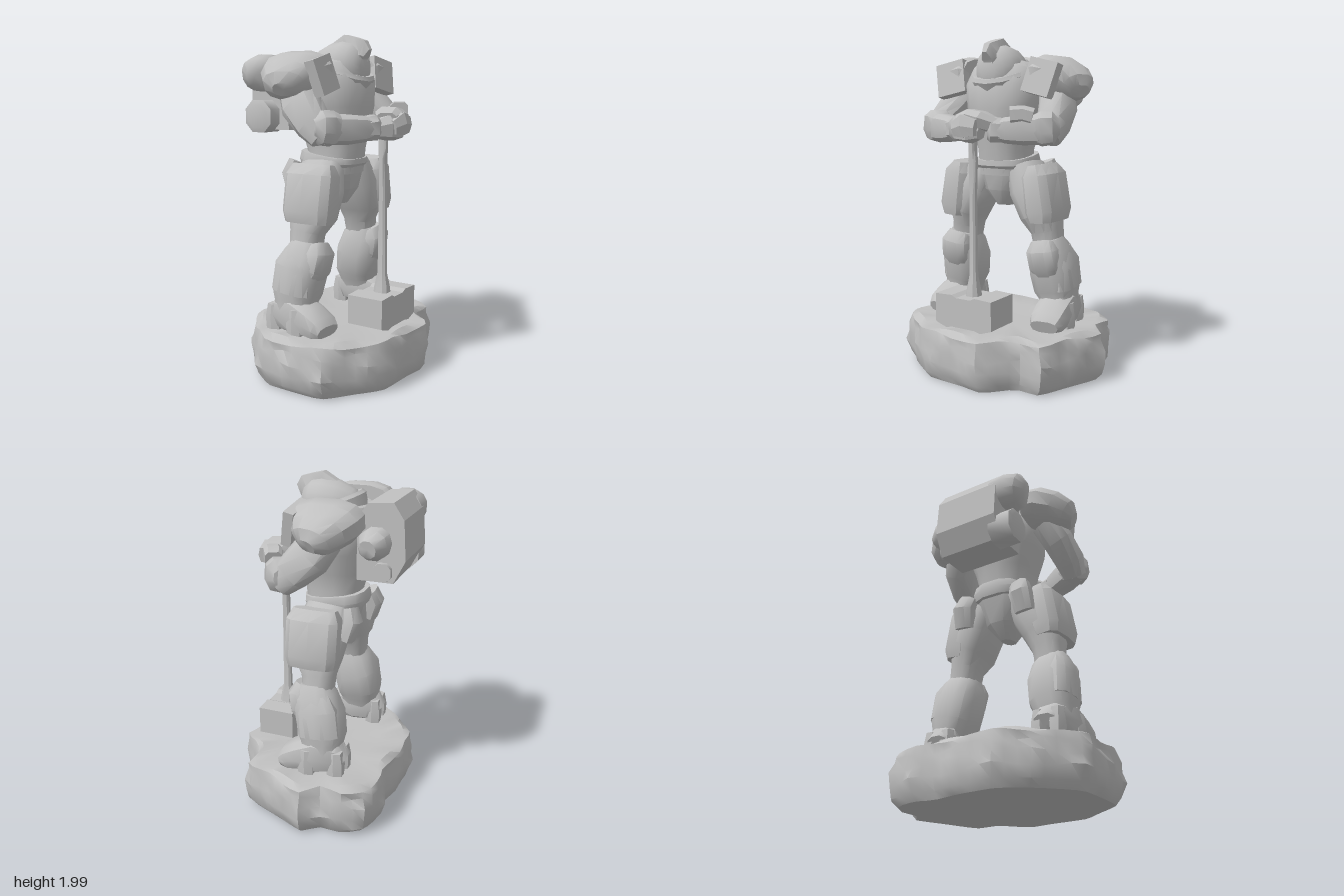
import * as THREE from 'three';
import { toCreasedNormals } from 'three/addons/utils/BufferGeometryUtils.js';

const V = (x, y, z) => new THREE.Vector3(x, y, z);
const UP = V(0, 1, 0);

// Closed skin over a list of rings, wound outward, with capped ends
function loft(rings, crease = 0.6) {
  const n = rings[0].length, pts = rings.flat(), idx = [];
  for (let i = 0; i < rings.length - 1; i++) {
    for (let j = 0; j < n; j++) {
      const a = i * n + j, b = i * n + (j + 1) % n;
      idx.push(a, b, b + n, a, b + n, a + n);
    }
  }
  [0, rings.length - 1].forEach((r) => {
    const c = pts.length;
    pts.push(rings[r].reduce((s, p) => s.add(p), V(0, 0, 0)).divideScalar(n));
    for (let j = 0; j < n; j++) {
      const a = r * n + j, b = r * n + (j + 1) % n;
      if (r === 0) idx.push(c, b, a); else idx.push(c, a, b);
    }
  });
  let volume = 0;
  for (let i = 0; i < idx.length; i += 3) {
    volume += pts[idx[i]].dot(V(0, 0, 0).crossVectors(pts[idx[i + 1]], pts[idx[i + 2]]));
  }
  if (volume < 0) idx.reverse();
  const g = new THREE.BufferGeometry().setFromPoints(pts);
  g.setIndex(idx);
  return toCreasedNormals(g.toNonIndexed(), crease);
}

// Limb along keys [x, y, z, half width along ref, half width across]; box < 1 squares it off
function limb(keys, { ref = V(1, 0, 0), sides = 10, box = 0.75, crease = 0.7 } = {}) {
  const P = keys.map((k) => V(k[0], k[1], k[2]));
  return loft(keys.map((k, i) => {
    const t = P[Math.min(i + 1, P.length - 1)].clone().sub(P[Math.max(i - 1, 0)]).normalize();
    const u = ref.clone().addScaledVector(t, -ref.dot(t)).normalize();
    const w = V(0, 0, 0).crossVectors(t, u);
    return Array.from({ length: sides }, (_, j) => {
      const a = (j + 0.5) / sides * Math.PI * 2, c = Math.cos(a), s = Math.sin(a);
      return P[i].clone()
        .addScaledVector(u, k[3] * Math.sign(c) * Math.abs(c) ** box)
        .addScaledVector(w, k[4] * Math.sign(s) * Math.abs(s) ** box);
    });
  }), crease);
}

// Flat outline extruded along z and centred on z = 0
function slab(points, depth) {
  const shape = new THREE.Shape(points.map((p) => new THREE.Vector2(...p)));
  return new THREE.ExtrudeGeometry(shape, { depth, bevelEnabled: false }).translate(0, 0, -depth / 2);
}

export function createModel() {
  const root = new THREE.Group();
  const grey = new THREE.MeshStandardMaterial({ color: 0xc0c0c0 });
  grey.name = 'stone grey';
  const figure = new THREE.Group();
  figure.name = 'figure';
  figure.position.z = 0.037;
  const add = (name, geometry, parent = figure) => {
    const m = new THREE.Mesh(geometry, grey);
    m.name = name;
    parent.add(m);
    return m;
  };

  // Rock base: irregular outline stacked in uneven layers
  const outline = [[-0.07, -0.64], [0.15, -0.55], [0.36, -0.46], [0.36, -0.29], [0.52, -0.14], [0.5, 0.03],
    [0.48, 0.3], [0.36, 0.46], [0.22, 0.63], [-0.18, 0.63], [-0.32, 0.52], [-0.42, 0.41], [-0.51, 0.25],
    [-0.5, 0], [-0.46, -0.2], [-0.49, -0.32], [-0.44, -0.48], [-0.32, -0.56], [-0.16, -0.56]];
  const edge = new THREE.CatmullRomCurve3(outline.map(([x, z]) => V(x, 0, z)), true, 'catmullrom', 0.2).getSpacedPoints(56);
  edge.pop();
  const layers = [[0.01, 0.9, 0], [0.05, 0.95, 0.02], [0.12, 0.98, 0.025], [0.19, 0.975, 0.03], [0.25, 0.96, 0.03],
    [0.3, 0.945, 0.02], [0.318, 0.88, 0.01], [0.305, 0.6, 0], [0.3, 0.25, 0]];
  add('rockBase', loft(layers.map(([y, s, j], i) => edge.map((p, k) => {
    const f = s + j * Math.sin(k * 1.3 + i * 1.9) * Math.cos(k * 0.45 - i);
    return V(p.x * f, y + (i > 1 && i < 7 ? 0.01 * Math.sin(k * 0.9 + i * 2) : 0), p.z * f);
  })), 0.7), root);

  // Torso, belt and groin
  add('torso', limb([[-0.04, 1.2, 0, 0.15, 0.16], [-0.04, 1.34, 0, 0.17, 0.155], [-0.045, 1.45, 0, 0.195, 0.18],
    [-0.05, 1.58, 0, 0.22, 0.23], [-0.06, 1.7, 0, 0.23, 0.25], [-0.09, 1.8, 0, 0.2, 0.22], [-0.1, 1.85, 0, 0.15, 0.16]], { sides: 16, box: 0.85 }));
  add('belt', limb([[-0.06, 1.24, 0, 0.175, 0.175], [-0.06, 1.27, 0, 0.19, 0.185], [-0.055, 1.31, 0, 0.185, 0.175]], { sides: 14 }));
  add('groin', limb([[-0.03, 1.01, 0, 0.06, 0.035], [-0.04, 1.1, 0, 0.13, 0.11], [-0.05, 1.26, 0, 0.165, 0.19]], { sides: 10 }));

  // Collar: hollow ring sloping down to the front
  const collar = new THREE.LatheGeometry([[0.19, -0.1], [0.215, 0.05], [0.2, 0.07], [0.175, 0.065], [0.15, -0.04]]
    .map((p) => new THREE.Vector2(...p)), 12);
  const ring = add('collar', toCreasedNormals(collar.toNonIndexed(), 0.6));
  ring.position.set(-0.03, 1.765, 0);
  ring.rotation.z = -0.38;
  ring.scale.z = 0.94;

  // Helmet: rounded from back to front, rising to a narrow ridge over the crown
  add('helmet', limb([[-0.2, 1.81, 0, 0.05, 0.04], [-0.15, 1.81, 0, 0.1, 0.095], [-0.06, 1.81, 0, 0.14, 0.135],
    [0.03, 1.81, 0, 0.155, 0.148], [0.09, 1.81, 0, 0.145, 0.13], [0.135, 1.81, 0, 0.11, 0.095], [0.155, 1.81, 0, 0.06, 0.05]],
    { ref: UP, sides: 16, box: 1, crease: 1 }));
  add('helmetCrest', limb([[-0.12, 1.88, 0, 0.03, 0.04], [-0.05, 1.88, 0, 0.085, 0.06], [0.03, 1.88, 0, 0.14, 0.065],
    [0.1, 1.88, 0, 0.12, 0.065], [0.15, 1.88, 0, 0.1, 0.05], [0.165, 1.87, 0, 0.06, 0.035]], { ref: UP, sides: 6, box: 1.3 }));

  // Backpack block with chamfered top and bottom, and its tanks
  add('backpack', slab([[-0.24, 1.45], [-0.45, 1.45], [-0.515, 1.58], [-0.5, 1.8], [-0.44, 1.89], [-0.3, 1.88], [-0.24, 1.8]], 0.41));
  const tank = (name, keys, sides) => add(name, limb(keys, { ref: UP, sides, box: 0.9, crease: 0.9 }));
  tank('leftUpperTank', [[-0.39, 1.78, 0.15, 0.1, 0.11], [-0.39, 1.78, 0.24, 0.11, 0.115], [-0.39, 1.77, 0.31, 0.095, 0.1], [-0.38, 1.76, 0.34, 0.05, 0.05]], 12);
  tank('leftLowerTank', [[-0.4, 1.53, 0.15, 0.1, 0.1], [-0.4, 1.53, 0.29, 0.1, 0.1], [-0.4, 1.53, 0.3, 0.07, 0.07]], 8);
  tank('rightUpperTank', [[-0.35, 1.67, -0.15, 0.09, 0.09], [-0.35, 1.67, -0.28, 0.085, 0.085], [-0.34, 1.66, -0.33, 0.05, 0.05]], 10);
  tank('rightLowerTank', [[-0.39, 1.51, -0.15, 0.06, 0.06], [-0.39, 1.51, -0.23, 0.055, 0.055]], 8);

  for (const s of [1, -1]) {
    const side = new THREE.Group();
    side.name = s > 0 ? 'leftSide' : 'rightSide';
    figure.add(side);
    const part = (name, keys, opt) => add(name, limb(keys.map(([x, y, z, a, b]) => [x, y, z * s, a, b]), opt), side);

    // Shoulder pad, sloping outward, with a thick front plate
    part('shoulderPad', [[-0.1, 1.79, 0.225, 0.1, 0.19], [-0.1, 1.79, 0.25, 0.115, 0.205], [-0.1, 1.775, 0.33, 0.12, 0.2],
      [-0.09, 1.745, 0.4, 0.11, 0.165], [-0.075, 1.71, 0.455, 0.09, 0.12], [-0.06, 1.69, 0.485, 0.04, 0.06]], { ref: UP, sides: 12, box: 0.8, crease: 0.6 });
    const plate = add('padPlate', new THREE.BoxGeometry(0.06, 0.2, 0.19), side);
    plate.position.set(0.075, 1.765, 0.31 * s);
    plate.rotation.set(0.22 * s, 0.1 * s, 0.2);

    // Arm bent inward to the hammer grip
    part('upperArm', [[-0.1, 1.7, 0.31, 0.1, 0.09], [-0.03, 1.6, 0.36, 0.115, 0.095], [0.07, 1.5, 0.385, 0.1, 0.085], [0.13, 1.43, 0.385, 0.07, 0.07]]);
    part('elbow', [[0.1, 1.49, 0.445, 0.045, 0.045], [0.12, 1.49, 0.41, 0.095, 0.085], [0.15, 1.485, 0.355, 0.1, 0.09], [0.18, 1.485, 0.3, 0.07, 0.07]], { ref: UP, sides: 9 });
    part('forearm', [[0.13, 1.48, 0.39, 0.085, 0.075], [0.2, 1.475, 0.27, 0.085, 0.08], [0.25, 1.475, 0.18, 0.075, 0.07], [0.28, 1.475, 0.13, 0.055, 0.055]], { ref: UP });
    part('cuff', [[0.255, 1.475, 0.165, 0.07, 0.065], [0.285, 1.48, 0.11, 0.075, 0.07], [0.3, 1.48, 0.09, 0.055, 0.05]], { ref: UP, sides: 8 });

    // Leg: thigh, guards, knee, shin and boot
    part('thigh', [[-0.05, 1.25, 0.13, 0.13, 0.09], [-0.04, 1.12, 0.195, 0.155, 0.125], [-0.03, 0.98, 0.26, 0.145, 0.115], [-0.05, 0.88, 0.285, 0.1, 0.09], [-0.05, 0.78, 0.3, 0.09, 0.085]], { sides: 12 });
    part('thighGuard', [[-0.02, 1.27, 0.265, 0.13, 0.05], [-0.02, 1.21, 0.275, 0.16, 0.095], [-0.02, 1.0, 0.305, 0.16, 0.105], [-0.02, 0.94, 0.31, 0.145, 0.085]], { sides: 10, box: 0.6, crease: 0.6 });
    part('hipPouch', [[-0.2, 1.27, 0.18, 0.04, 0.06], [-0.22, 1.2, 0.2, 0.055, 0.07], [-0.19, 1.09, 0.21, 0.045, 0.06]], { sides: 8 });
    part('kneePad', [[0.03, 0.82, 0.3, 0.05, 0.07], [0.045, 0.77, 0.31, 0.075, 0.1], [0.025, 0.68, 0.32, 0.08, 0.1], [-0.02, 0.6, 0.33, 0.06, 0.07]], { sides: 10, crease: 0.8 });
    part('shin', [[-0.03, 0.83, 0.3, 0.09, 0.085], [-0.035, 0.76, 0.31, 0.13, 0.115], [-0.07, 0.65, 0.32, 0.145, 0.135], [-0.09, 0.53, 0.335, 0.14, 0.13], [-0.09, 0.48, 0.345, 0.125, 0.11], [-0.09, 0.38, 0.36, 0.12, 0.1]], { sides: 12 });
    part('shinGuard', [[-0.05, 0.76, 0.36, 0.1, 0.06], [-0.075, 0.69, 0.375, 0.125, 0.08], [-0.09, 0.54, 0.385, 0.13, 0.08]], { sides: 10 });
    part('boot', [[-0.23, 0.37, 0.35, 0.06, 0.07], [-0.18, 0.4, 0.35, 0.1, 0.1], [-0.06, 0.41, 0.36, 0.12, 0.115], [0.04, 0.385, 0.37, 0.09, 0.11], [0.11, 0.36, 0.375, 0.07, 0.105], [0.15, 0.345, 0.38, 0.04, 0.085]], { ref: UP, sides: 10 });
    for (const [x, z] of [[-0.2, 0.41], [-0.03, 0.44], [-0.2, 0.3]]) {
      part('bootStud', [[x, 0.3, z, 0.05, 0.04], [x, 0.38, z, 0.055, 0.045], [x, 0.46, z, 0.04, 0.035]], { sides: 6, crease: 0.3 });
    }
  }

  // Hands stacked on top of the hammer grip, and the raised guard on the right wrist
  add('lowerHand', limb([[0.28, 1.47, 0.12, 0.05, 0.05], [0.32, 1.48, 0.05, 0.075, 0.08], [0.34, 1.47, -0.03, 0.07, 0.075], [0.34, 1.46, -0.08, 0.04, 0.04]], { ref: UP, sides: 7, crease: 0.4 }));
  add('upperHand', limb([[0.28, 1.5, -0.14, 0.045, 0.05], [0.31, 1.53, -0.06, 0.055, 0.09], [0.32, 1.55, 0.01, 0.045, 0.08], [0.34, 1.53, 0.07, 0.035, 0.06]], { ref: UP, sides: 7, crease: 0.4 }));
  add('knuckles', limb([[0.39, 1.49, -0.08, 0.05, 0.03], [0.395, 1.5, 0, 0.07, 0.04], [0.38, 1.48, 0.07, 0.045, 0.03]], { ref: UP, sides: 6, crease: 0.3 }));
  add('wristGuard', limb([[0.2, 1.55, -0.33, 0.05, 0.05], [0.225, 1.565, -0.28, 0.05, 0.055], [0.26, 1.56, -0.22, 0.05, 0.055]], { ref: UP, sides: 8, box: 0.6 }));

  // War hammer resting head down
  const hammer = new THREE.Group();
  hammer.name = 'hammer';
  hammer.position.set(0.288, 0, 0.05);
  root.add(hammer);
  add('handle', limb([[0, 0.48, 0, 0.05, 0.05], [0, 0.54, 0, 0.045, 0.04], [0, 0.63, 0, 0.026, 0.024], [0, 1.1, 0, 0.022, 0.02],
    [0, 1.3, 0, 0.022, 0.028], [0, 1.36, 0, 0.027, 0.022], [0, 1.52, 0, 0.027, 0.022]], { sides: 8 }), hammer);
  const head = add('hammerHead', slab([[-0.195, 0.35], [-0.12, 0.325], [-0.08, 0.335], [0.08, 0.335], [0.12, 0.325], [0.195, 0.35],
    [0.195, 0.52], [0.08, 0.525], [0.05, 0.51], [-0.05, 0.51], [-0.08, 0.525], [-0.195, 0.52]], 0.225), hammer);
  head.rotation.y = Math.PI / 2;

  root.add(figure);
  return root;
}
